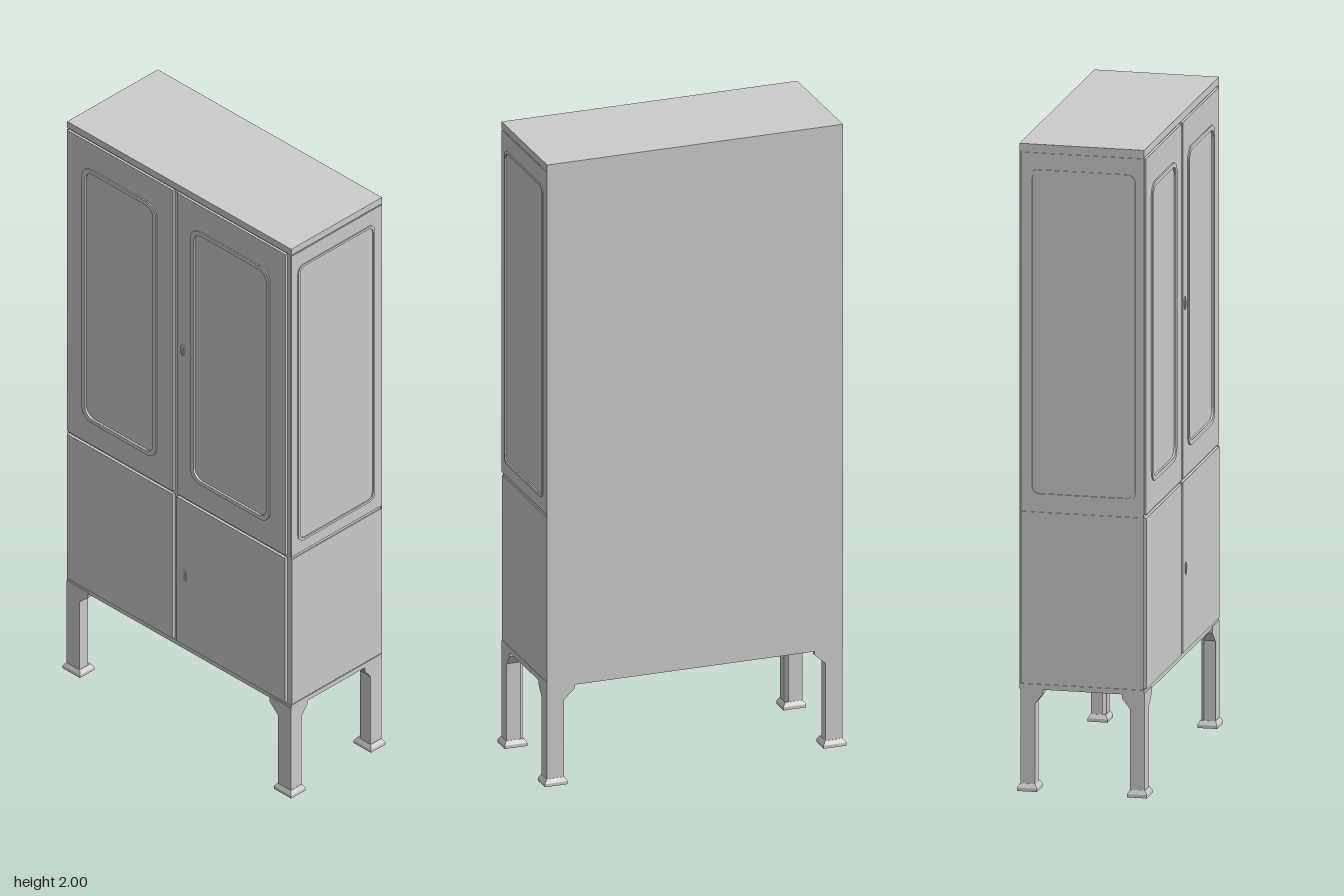
import * as THREE from 'three';

const material = new THREE.MeshStandardMaterial({ color: 0xcccccc });

function add(parent, name, geometry, x = 0, y = 0, z = 0) {
  const mesh = new THREE.Mesh(geometry, material);
  mesh.name = name;
  mesh.position.set(x, y, z);
  parent.add(mesh);
  return mesh;
}

// Box given by its limits
function slab(parent, name, x0, x1, y0, y1, z0, z1) {
  return add(parent, name, new THREE.BoxGeometry(x1 - x0, y1 - y0, z1 - z0),
    (x0 + x1) / 2, (y0 + y1) / 2, (z0 + z1) / 2);
}

// Rectangle with rounded corners, as a Shape or a Path
function roundRect(Type, x0, x1, y0, y1, r) {
  const p = new Type();
  p.moveTo(x0 + r, y0);
  p.lineTo(x1 - r, y0);
  p.absarc(x1 - r, y0 + r, r, -Math.PI / 2, 0);
  p.lineTo(x1, y1 - r);
  p.absarc(x1 - r, y1 - r, r, 0, Math.PI / 2);
  p.lineTo(x0 + r, y1);
  p.absarc(x0 + r, y1 - r, r, Math.PI / 2, Math.PI);
  p.lineTo(x0, y0 + r);
  p.absarc(x0 + r, y0 + r, r, Math.PI, Math.PI * 1.5);
  return p;
}

function extrude(shape, depth) {
  return new THREE.ExtrudeGeometry(shape, { depth, bevelEnabled: false, curveSegments: 6 });
}

// Framed panel facing +z: frame with an opening, raised rim and recessed pane
function framedPanel(name, [x0, x1, y0, y1], [a0, a1, b0, b1], r, rimWidth, depth, rimHeight) {
  const group = new THREE.Group();
  group.name = name;
  const w = rimWidth;
  const frame = new THREE.Shape([[x0, y0], [x1, y0], [x1, y1], [x0, y1]].map(p => new THREE.Vector2(...p)));
  frame.holes.push(roundRect(THREE.Path, a0 + w, a1 - w, b0 + w, b1 - w, r - w / 2));
  add(group, 'frame', extrude(frame, depth));
  const rim = roundRect(THREE.Shape, a0, a1, b0, b1, r);
  rim.holes.push(roundRect(THREE.Path, a0 + w, a1 - w, b0 + w, b1 - w, r - w / 2));
  add(group, 'windowRim', extrude(rim, rimHeight), 0, 0, depth);
  slab(group, 'pane', a0, a1, b0, b1, 0, depth * 0.6);
  return group;
}

// Solid skinned through [y, outline] sections, with flat facets
function loft(sections) {
  const pos = [], n = sections[0][1].length;
  const vert = (s, i) => {
    const [y, pts] = sections[s];
    return [pts[i % n][0], y, pts[i % n][1]];
  };
  for (let s = 0; s < sections.length - 1; s++) {
    for (let i = 0; i < n; i++) {
      const a = vert(s, i), b = vert(s, i + 1), c = vert(s + 1, i + 1), d = vert(s + 1, i);
      pos.push(...a, ...c, ...b, ...a, ...d, ...c);
    }
  }
  const last = sections.length - 1;
  for (let i = 1; i < n - 1; i++) {
    pos.push(...vert(0, 0), ...vert(0, i), ...vert(0, i + 1));
    pos.push(...vert(last, 0), ...vert(last, i + 1), ...vert(last, i));
  }
  const g = new THREE.BufferGeometry();
  g.setAttribute('position', new THREE.Float32BufferAttribute(pos, 3));
  g.computeVertexNormals();
  return g;
}

// Leg at one corner, flaring into a brace under the body
function leg(sx, sz) {
  const group = new THREE.Group();
  group.name = (sz > 0 ? 'front' : 'back') + (sx > 0 ? 'Left' : 'Right') + 'Leg';
  const place = pts => {
    const out = pts.map(([x, z]) => [sx * (0.475 - x), sz * (0.192 - z)]);
    return sx * sz > 0 ? out : out.reverse();
  };
  const post = place([[0, 0], [0.055, 0], [0.055, 0.035], [0.045, 0.045], [0, 0.045]]);
  const brace = place([[0, 0], [0.09, 0], [0.09, 0.015], [0.03, 0.07], [0, 0.07]]);
  add(group, 'post', loft([[0.012, post], [0.27, post], [0.302, brace], [0.322, brace]]));
  const wide = place([[-0.009, -0.008], [0.064, -0.008], [0.064, 0.053], [-0.009, 0.053]]);
  const slim = place([[-0.001, -0.001], [0.056, -0.001], [0.056, 0.046], [-0.001, 0.046]]);
  add(group, 'foot', loft([[0, wide], [0.01, wide], [0.022, slim]]));
  return group;
}

// Oval lock plate with a small raised key barrel
function lock(name, x, y) {
  const group = new THREE.Group();
  group.name = name;
  const plate = new THREE.Shape().absellipse(0, 0, 0.009, 0.02, 0, Math.PI * 2);
  add(group, 'lockPlate', extrude(plate, 0.003));
  add(group, 'keyBarrel', new THREE.CylinderGeometry(0.004, 0.004, 0.005, 12).rotateX(Math.PI / 2), 0, 0.006, 0.0025);
  slab(group, 'keySlot', -0.002, 0.002, -0.013, 0.004, 0.002, 0.0045);
  group.position.set(x, y, 0.195);
  return group;
}

export function createModel() {
  const model = new THREE.Group();
  model.name = 'cabinet';

  // Carcass with top cap and base band
  slab(model, 'carcass', -0.472, 0.472, 0.318, 1.98, -0.194, 0.187);
  slab(model, 'topCap', -0.475, 0.475, 1.977, 2, -0.195, 0.19);
  slab(model, 'baseBand', -0.475, 0.475, 0.315, 0.331, -0.195, 0.19);
  slab(model, 'backPanel', -0.475, 0.475, 0.318, 1.99, -0.195, -0.191);

  // Upper doors with round-cornered windows, lower plain doors
  const doors = [
    ['right', -0.47, -0.022, -0.405, -0.09],
    ['left', -0.005, 0.455, 0.055, 0.39],
  ];
  for (const [side, x0, x1, a0, a1] of doors) {
    const door = framedPanel(side + 'UpperDoor', [x0, x1, 0.872, 1.973], [a0, a1, 0.955, 1.88], 0.04, 0.014, 0.008, 0.004);
    door.position.z = 0.187;
    model.add(door);
    slab(model, side + 'LowerDoor', x0, x1, 0.334, 0.862, 0.187, 0.196);
  }
  model.add(lock('upperLock', 0.02, 1.41), lock('lowerLock', 0.028, 0.59));

  // Side panels: framed window above, plain sheet below
  for (const s of [1, -1]) {
    const side = s > 0 ? 'left' : 'right';
    const panel = framedPanel(side + 'SidePanel', [-0.19, 0.19, 0.873, 1.973], [-0.163, 0.163, 0.913, 1.922], 0.025, 0.008, 0.003, 0.003);
    panel.rotation.y = s * Math.PI / 2;
    panel.position.x = s * 0.472;
    model.add(panel);
    slab(model, side + 'LowerSide', s * 0.4735 - 0.0015, s * 0.4735 + 0.0015, 0.334, 0.863, -0.19, 0.188);
  }

  // Legs
  for (const sx of [1, -1]) for (const sz of [1, -1]) model.add(leg(sx, sz));

  return model;
}
